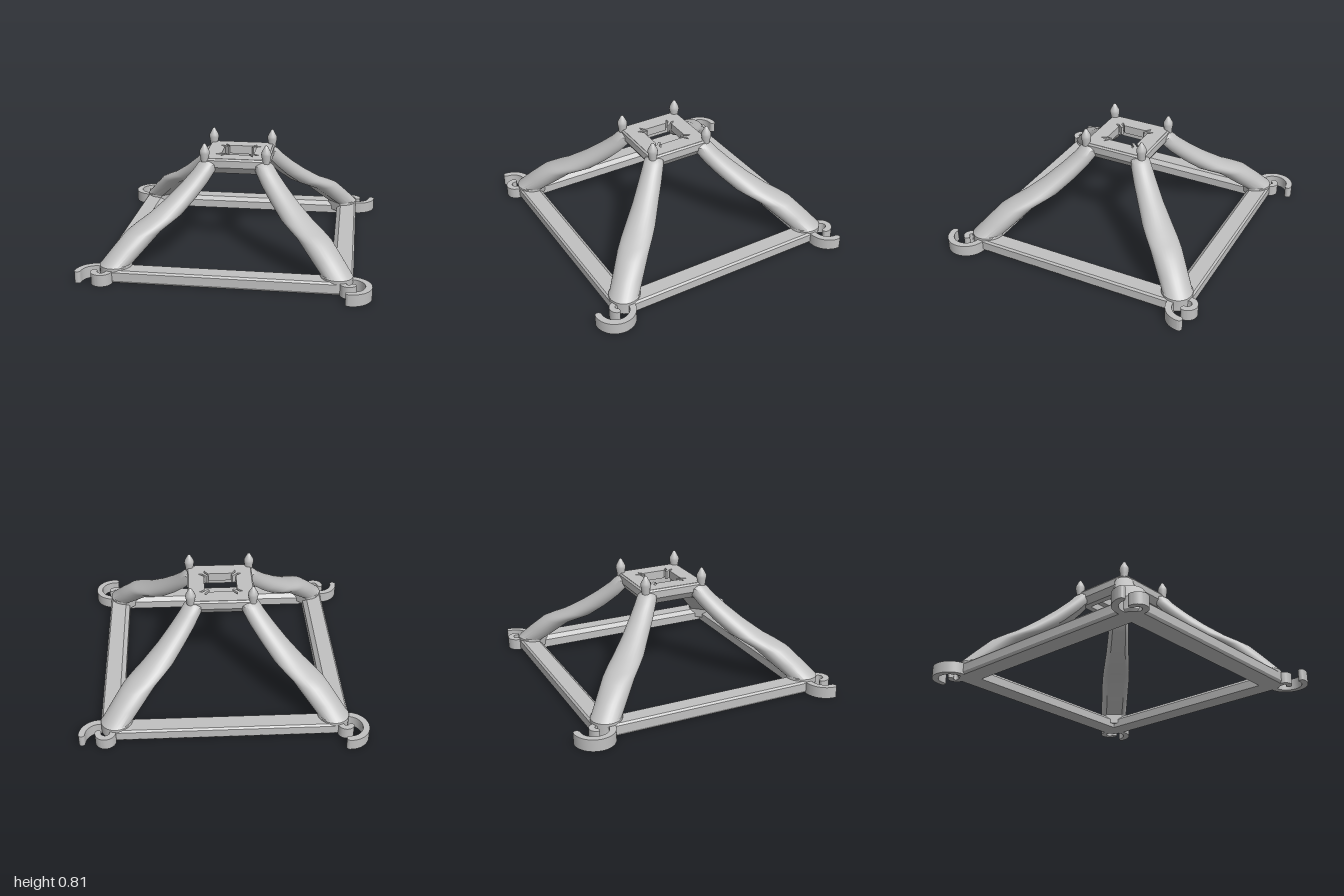
import * as THREE from 'three';
import { toCreasedNormals } from 'three/addons/utils/BufferGeometryUtils.js';

const metal = new THREE.MeshStandardMaterial({ color: 0xc0c0c0 });
metal.name = 'plain grey';

// Skin between closed rings of [x, y, z] points; rings run upward, points counter-clockwise from above
function loft(rings, wrap = false, crease = 0.6) {
  const n = rings[0].length, index = [];
  const count = wrap ? rings.length : rings.length - 1;
  for (let i = 0; i < count; i++) {
    const up = (i + 1) % rings.length;
    for (let j = 0; j < n; j++) {
      const k = (j + 1) % n;
      const a = i * n + j, b = i * n + k, c = up * n + k, d = up * n + j;
      index.push(a, b, c, a, c, d);
    }
  }
  const geo = new THREE.BufferGeometry();
  geo.setAttribute('position', new THREE.Float32BufferAttribute(rings.flat(2), 3));
  geo.setIndex(index);
  return toCreasedNormals(geo, crease);
}

// Square ring of half size r at height y, rounded where r exceeds the corner centre
function squareRing(r, y, corner) {
  const pts = [], c = Math.min(r, corner), round = Math.max(0, r - corner), steps = 6;
  for (let q = 0; q < 4; q++) {
    const mid = Math.PI / 4 + q * Math.PI / 2;
    const cx = Math.sign(Math.cos(mid)) * c, cy = Math.sign(Math.sin(mid)) * c;
    for (let i = 0; i <= steps; i++) {
      const a = q * Math.PI / 2 + (i / steps) * Math.PI / 2;
      pts.push([cx + round * Math.cos(a), y, -cy - round * Math.sin(a)]);
    }
  }
  return pts;
}

const squareFrame = (profile, corner) => loft(profile.map(([r, y]) => squareRing(r, y, corner)), true, 0.4);

// Leg sections: height, centre offset per axis, radial half depth, half width
function legGeometry() {
  const sections = [
    [0.03, 0.74, 0, 0], [0.03, 0.74, 0.11, 0.105], [0.10, 0.74, 0.112, 0.105],
    [0.105, 0.735, 0.115, 0.1], [0.19, 0.66, 0.125, 0.103], [0.28, 0.58, 0.13, 0.106],
    [0.32, 0.52, 0.132, 0.106], [0.36, 0.457, 0.13, 0.102], [0.45, 0.36, 0.115, 0.088],
    [0.54, 0.278, 0.1, 0.08], [0.62, 0.217, 0.085, 0.072], [0.66, 0.2, 0.07, 0.066],
    [0.683, 0.2, 0.035, 0.04], [0.686, 0.2, 0, 0],
  ];
  const n = 28;
  return loft(sections.map(([y, s, d, w]) => Array.from({ length: n }, (_, i) => {
    const a = (i / n) * Math.PI * 2;
    return [s * Math.SQRT2 + d * Math.max(Math.cos(a), -0.78), y, -w * Math.sin(a)];
  })), false, 0.55);
}

// Flat curl with round ends, angles in degrees as seen from above
function curlGeometry(cx, cy, r, from, to, half) {
  const a = THREE.MathUtils.degToRad(from), b = THREE.MathUtils.degToRad(to);
  const s = new THREE.Shape();
  s.absarc(cx, cy, r + half, a, b, false);
  s.absarc(cx + r * Math.cos(b), cy + r * Math.sin(b), half, b, b + Math.PI, false);
  s.absarc(cx, cy, r - half, b, a, true);
  s.absarc(cx + r * Math.cos(a), cy + r * Math.sin(a), half, a + Math.PI, a + 2 * Math.PI, false);
  const geo = new THREE.ExtrudeGeometry(s, { depth: 0.082, bevelEnabled: false, curveSegments: 14 });
  geo.rotateX(-Math.PI / 2);
  return toCreasedNormals(geo, 0.6);
}

// Top plate with a square opening that has pairs of pointed notches in its corners
function topPlateGeometry() {
  const o = 0.226;
  const s = new THREE.Shape([[-o, -o], [o, -o], [o, o], [-o, o]].map(p => new THREE.Vector2(...p)));
  const corner = [[0.115, 0.06], [0.115, 0.085], [0.153, 0.112], [0.128, 0.114], [0.092, 0.08],
    [0.08, 0.092], [0.114, 0.128], [0.112, 0.153], [0.085, 0.115], [0.06, 0.115]];
  const pts = [];
  for (let q = 0; q < 4; q++) {
    for (const [x, y] of corner) {
      pts.push(new THREE.Vector2(x, y).rotateAround(new THREE.Vector2(), q * Math.PI / 2));
    }
  }
  s.holes.push(new THREE.Path(pts));
  const geo = new THREE.ExtrudeGeometry(s, { depth: 0.06, bevelEnabled: false });
  return geo.rotateX(-Math.PI / 2).translate(0, 0.644, 0);
}

export function createModel() {
  const model = new THREE.Group();
  model.name = 'pyramidStand';
  const add = (name, geo, parent = model) => {
    const mesh = new THREE.Mesh(geo, metal);
    mesh.name = name;
    parent.add(mesh);
    return mesh;
  };

  // Ground frame
  add('baseFrame', squareFrame([
    [0.70, 0], [0.838, 0], [0.85, 0.018], [0.85, 0.075], [0.838, 0.088], [0.73, 0.088], [0.70, 0.06],
  ], 0.74));

  // Upper frame and its notched plate
  add('topFrame', squareFrame([
    [0.16, 0.592], [0.205, 0.592], [0.236, 0.64], [0.236, 0.69], [0.225, 0.703], [0.16, 0.703],
  ], 0.225));
  add('topPlate', topPlateGeometry());

  // Four legs and finials
  const leg = legGeometry();
  const finial = toCreasedNormals(new THREE.LatheGeometry([
    [0, 0.68], [0.027, 0.68], [0.029, 0.705], [0.036, 0.74], [0.034, 0.757], [0.01, 0.803], [0, 0.81],
  ].map(p => new THREE.Vector2(...p)), 16), 0.6);
  for (let q = 0; q < 4; q++) {
    const angle = Math.PI / 4 + q * Math.PI / 2;
    add('leg', leg).rotation.y = angle;
    const r = 0.217 * Math.SQRT2;
    add('finial', finial).position.set(r * Math.cos(angle), 0, -r * Math.sin(angle));
  }

  // Corner curls, the same on opposite corners
  const curls = [
    ['largeHook', curlGeometry(-0.835, 0.86, 0.117, 85, 285, 0.022)],
    ['smallCurl', curlGeometry(-0.82, 0.835, 0.036, -30, 150, 0.02)],
    ['openHook', curlGeometry(0.855, 0.86, 0.119, 255, 360, 0.022)],
    ['roundCurl', curlGeometry(0.815, 0.848, 0.05, -5, 205, 0.021)],
  ];
  for (const turn of [0, Math.PI]) {
    const pair = new THREE.Group();
    pair.name = 'cornerCurls';
    pair.rotation.y = turn;
    for (const [name, geo] of curls) add(name, geo, pair);
    model.add(pair);
  }
  return model;
}
